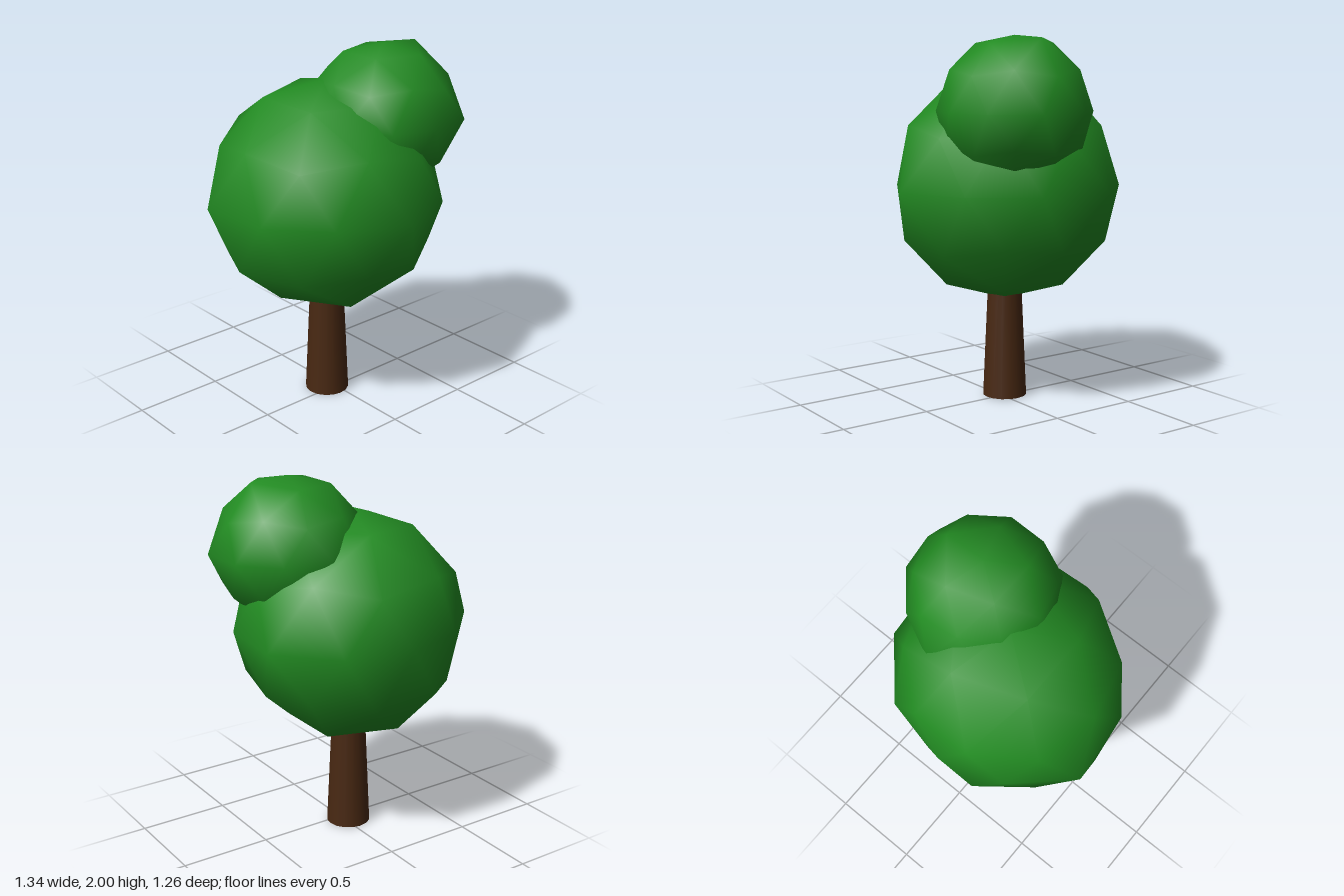
import * as THREE from 'three';
import { mergeVertices } from 'three/addons/utils/BufferGeometryUtils.js';

const leafGreen = new THREE.MeshStandardMaterial({ color: 0x228b22 });
leafGreen.name = 'leaf green';
const barkBrown = new THREE.MeshStandardMaterial({ color: 0x482812 });
barkBrown.name = 'bark brown';

// Low-poly ball with a vertex at each pole; the vertex nearest each nudge point moves onto it.
function foliage(name, radius, center, nudges) {
  let geo = new THREE.IcosahedronGeometry(radius, 1);
  geo.deleteAttribute('uv');
  geo.deleteAttribute('normal');
  geo = mergeVertices(geo, 1e-4);
  geo.rotateX(-Math.atan((1 + Math.sqrt(5)) / 2));
  geo.rotateY(Math.PI / 2);
  geo.translate(...center);

  const pos = geo.attributes.position;
  const v = new THREE.Vector3();
  for (const point of nudges) {
    const target = new THREE.Vector3(...point);
    let best = 0, bestDistance = Infinity;
    for (let i = 0; i < pos.count; i++) {
      const d = v.fromBufferAttribute(pos, i).distanceTo(target);
      if (d < bestDistance) { bestDistance = d; best = i; }
    }
    pos.setXYZ(best, ...point);
  }
  geo.computeVertexNormals();

  const mesh = new THREE.Mesh(geo, leafGreen);
  mesh.name = name;
  return mesh;
}

export function createModel() {
  const tree = new THREE.Group();
  tree.name = 'tree';

  // Tapered trunk running up into the main crown
  const trunk = new THREE.Mesh(new THREE.CylinderGeometry(0.078, 0.123, 1, 16), barkBrown);
  trunk.name = 'trunk';
  trunk.position.set(-0.03, 0.5, -0.04);
  tree.add(trunk);

  // Main crown, slightly uneven
  tree.add(foliage('mainCrown', 0.637, [-0.03, 1.19, -0.04], [
    [-0.67, 1.19, -0.25], [0.61, 1.19, -0.25],
    [-0.03, 1.19, 0.63], [-0.03, 1.19, -0.63],
    [0.34, 1.19, -0.55], [-0.38, 1.19, -0.52],
    [-0.38, 1.19, 0.44], [-0.63, 1.19, 0.15],
    [-0.63, 0.89, -0.04], [-0.36, 0.66, -0.04], [0.5, 0.87, -0.04],
    [-0.2, 1.54, -0.59], [0.07, 1.75, -0.37],
  ]));

  // Smaller crown on the upper left front
  tree.add(foliage('upperCrown', 0.41, [0.25, 1.61, 0.1], [
    [0.25, 2, 0.1], [0.48, 1.985, 0.1],
    [0.25, 1.61, -0.35], [0.25, 1.61, 0.505],
    [0.67, 1.61, 0.23], [0.66, 1.61, -0.04],
    [0.51, 1.61, 0.455], [-0.13, 1.61, 0.2],
  ]));

  return tree;
}
